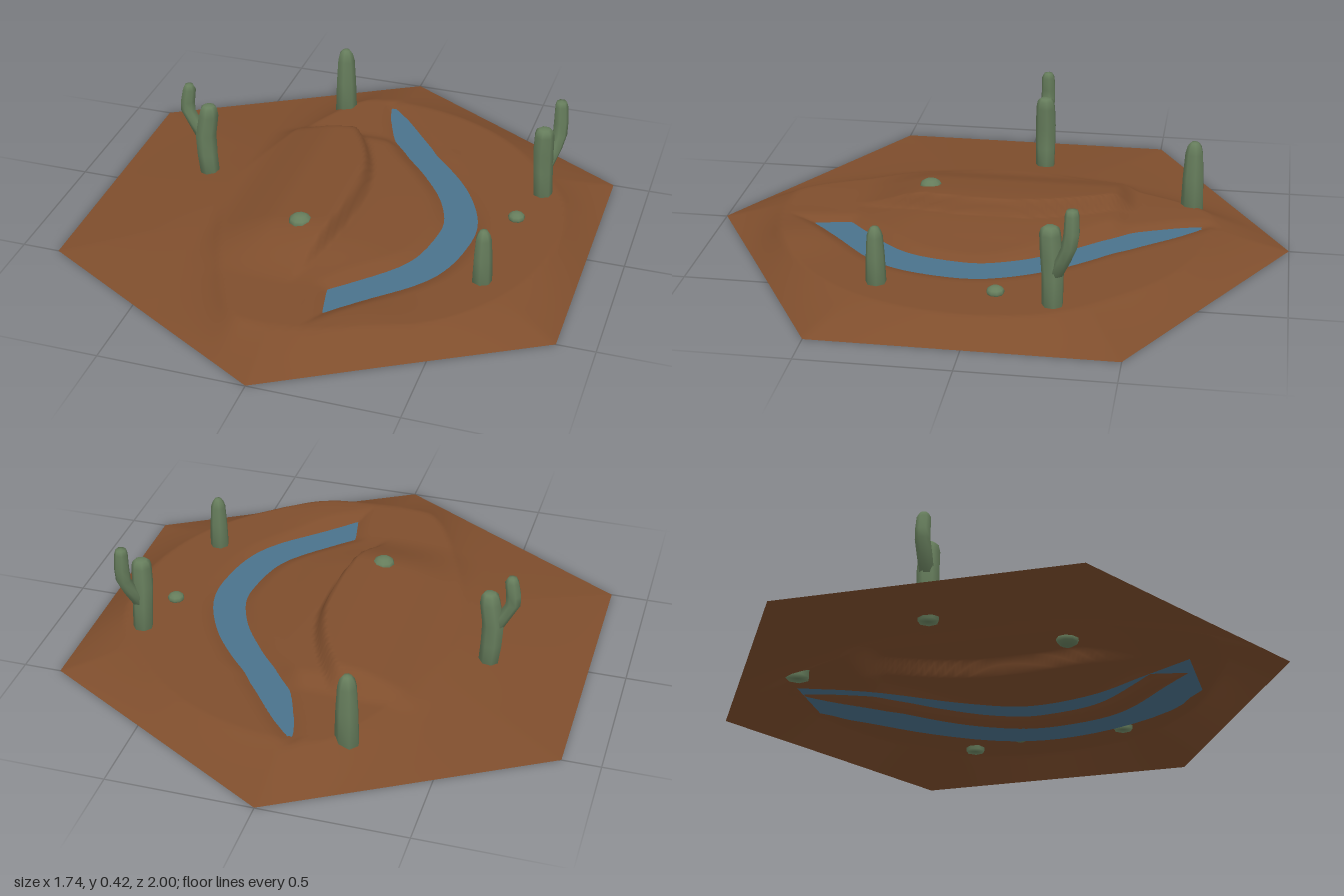
import * as THREE from 'three';

const smooth = (a, b, v) => THREE.MathUtils.smoothstep(v, a, b);
const lerp = THREE.MathUtils.lerp;
const APOTHEM = 0.87;
const WATER_Y = 0.07;

const curveXZ = (points) => new THREE.CatmullRomCurve3(points.map(([x, z, w = 0]) => new THREE.Vector3(x, w, z)));

// Centre line of the water sheet, given as x and z
const riverCurve = curveXZ([
  [0.03, -0.70], [0.15, -0.5], [0.32, -0.27], [0.43, -0.05], [0.44, 0.12], [0.36, 0.38], [0.155, 0.665]]);

// Centre line of the open channel, given as x, z and half width
const channelPoints = curveXZ([
  [-0.03, -0.71, 0], [0.035, -0.6, 0.03], [0.14, -0.43, 0.055], [0.255, -0.3, 0.055], [0.365, -0.15, 0.052],
  [0.425, 0, 0.053], [0.425, 0.12, 0.055], [0.375, 0.3, 0.056], [0.21, 0.49, 0.056], [0.06, 0.64, 0.056]]).getPoints(80);

// Signed distance to the channel's waterline, cut off squarely at the front end
function channelDistance(x, z) {
  let best = 9;
  for (const p of channelPoints) best = Math.min(best, Math.hypot(x - p.x, z - p.z) - p.y);
  return z > 0.4 ? Math.max(best, 0.12 + (z - 0.58) * 0.15 - x) : best;
}

// Ground height: sloped rim, hill with a cliff on its right, river channel
function groundHeight(x, z) {
  const ax = Math.abs(x), az = Math.abs(z);
  const rim = Math.max(0, APOTHEM - Math.max(ax, ax * 0.5 + az * 0.866));
  const right = smooth(-0.42, -0.1, x);
  const plateau = lerp(0.42, lerp(0.73, 0.77, smooth(-0.5, -0.2, z)), right);
  const inward = rim / (rim + Math.max(0, Math.hypot(x, z) - plateau) + 1e-6);
  let y = lerp(0.012, 0.075 + 0.008 * right, inward);
  // low bank at the front end of the river
  y += 0.018 * Math.exp(-((x - 0.27) ** 2 + (z - 0.66) ** 2) / 0.02) * Math.min(1, rim / 0.1);
  const crest = 0.06 - (z < 0 ? 0.85 : 0.3) * z * z;
  const along = smooth(-0.47, -0.38, z) * (1 - smooth(0.25, 0.55, z));
  const slope = 0.7 * smooth(-0.42, -0.15, x) + 0.3 * smooth(-0.25, 0.05, x);
  const cliff = 1 - smooth(crest - 0.008, crest + 0.016, x);
  y += along * slope * (0.052 * cliff + 0.03 * (1 - smooth(crest, 0.38, x)));
  return lerp(0.05, y, smooth(-0.06, 0.055, channelDistance(x, z)));
}

function terrainGeometry() {
  const nx = 140, nz = 120;
  const geo = new THREE.PlaneGeometry(2, 2, nx, nz).rotateX(-Math.PI / 2);
  const pos = geo.attributes.position;
  for (let i = 0; i < pos.count; i++) {
    const x = pos.getX(i) * APOTHEM;
    const z = pos.getZ(i) * (1 - Math.abs(x) / APOTHEM * 0.5);
    pos.setXYZ(i, x, groundHeight(x, z), z);
  }
  geo.computeVertexNormals();
  return geo;
}

// Flat sheet, wider than the channel, sunk into its banks
function riverGeometry() {
  const steps = 24, verts = [], index = [];
  for (let i = 0; i <= steps; i++) {
    const t = i / steps;
    const p = riverCurve.getPoint(t), d = riverCurve.getTangent(t);
    // square off both ends across x
    const end = Math.max(smooth(0.85, 1, t), 1 - smooth(0, 0.15, t));
    const side = new THREE.Vector3(d.z, 0, -d.x).lerp(new THREE.Vector3(1, 0, 0), end)
      .setLength(0.118 + 0.04 * Math.sin(Math.PI * t) + 0.018 * t);
    verts.push(p.x - side.x, WATER_Y, p.z - side.z, p.x + side.x, WATER_Y, p.z + side.z);
    if (i < steps) {
      const a = i * 2;
      index.push(a, a + 2, a + 1, a + 1, a + 2, a + 3);
    }
  }
  const geo = new THREE.BufferGeometry();
  geo.setAttribute('position', new THREE.Float32BufferAttribute(verts, 3));
  geo.setIndex(index);
  geo.computeVertexNormals();
  return geo;
}

// Closed limb skinned over horizontal rings, each [x, y, z, radius]
function limbGeometry(rings, sides = 7) {
  const verts = [], index = [];
  const first = rings[0], last = rings[rings.length - 1];
  for (const [x, y, z, r] of rings) {
    for (let s = 0; s < sides; s++) {
      const a = s / sides * Math.PI * 2;
      verts.push(x + r * Math.sin(a), y, z + r * Math.cos(a));
    }
  }
  const bottom = rings.length * sides, top = bottom + 1;
  verts.push(first[0], first[1], first[2], last[0], last[1] + 0.003, last[2]);
  for (let s = 0; s < sides; s++) {
    const n = (s + 1) % sides;
    for (let k = 0; k < rings.length - 1; k++) {
      const a = k * sides, b = a + sides;
      index.push(a + s, a + n, b + s, a + n, b + n, b + s);
    }
    const e = (rings.length - 1) * sides;
    index.push(bottom, n, s, top, e + s, e + n);
  }
  const geo = new THREE.BufferGeometry();
  geo.setAttribute('position', new THREE.Float32BufferAttribute(verts, 3));
  geo.setIndex(index);
  geo.computeVertexNormals();
  return geo;
}

export function createModel() {
  const model = new THREE.Group();
  model.name = 'desertTile';
  const material = (name, color, side = THREE.FrontSide) => {
    const m = new THREE.MeshStandardMaterial({ color, side });
    m.name = name;
    return m;
  };
  const earth = material('earth', 0x7f4e2d, THREE.DoubleSide);
  const water = material('water', 0x4a728c, THREE.DoubleSide);
  const green = material('cactusGreen', 0x667d5c);
  const add = (name, geo, mat) => {
    const mesh = new THREE.Mesh(geo, mat);
    mesh.name = name;
    model.add(mesh);
    return mesh;
  };

  add('terrain', terrainGeometry(), earth);
  add('river', riverGeometry(), water);

  // Branched cactus on the left side
  add('westCactusTrunk', limbGeometry([
    [-0.537, 0.045, -0.085, 0.035], [-0.545, 0.13, -0.085, 0.037], [-0.548, 0.21, -0.085, 0.038],
    [-0.535, 0.29, -0.085, 0.036], [-0.533, 0.318, -0.085, 0.03], [-0.532, 0.328, -0.085, 0.02]]), green);
  add('westCactusArm', limbGeometry([
    [-0.555, 0.19, -0.085, 0.024], [-0.585, 0.25, -0.085, 0.026], [-0.612, 0.30, -0.085, 0.026],
    [-0.612, 0.335, -0.085, 0.026], [-0.604, 0.385, -0.085, 0.024], [-0.604, 0.402, -0.085, 0.015]]), green);

  // Branched cactus on the right side
  add('eastCactusTrunk', limbGeometry([
    [0.655, 0.07, -0.26, 0.035], [0.65, 0.18, -0.26, 0.036], [0.648, 0.25, -0.255, 0.037],
    [0.65, 0.325, -0.25, 0.035], [0.65, 0.343, -0.25, 0.03], [0.65, 0.35, -0.25, 0.02]]), green);
  add('eastCactusArm', limbGeometry([
    [0.66, 0.19, -0.27, 0.024], [0.68, 0.25, -0.295, 0.026], [0.692, 0.30, -0.315, 0.026],
    [0.692, 0.35, -0.322, 0.026], [0.69, 0.41, -0.322, 0.023], [0.69, 0.427, -0.322, 0.018]]), green);

  // Plain upright cacti: x, z, base, top, radius
  for (const [name, x, z, y0, y1, r] of [
    ['backCactus', -0.2, -0.655, 0.055, 0.317, 0.042],
    ['frontCactus', 0.58, 0.325, 0.07, 0.278, 0.035]]) {
    add(name, limbGeometry([
      [x, y0, z, r], [x, lerp(y0, y1, 0.5), z, r * 0.9], [x, lerp(y0, y1, 0.84), z, r * 0.77],
      [x, y1 - 0.014, z, r * 0.6], [x, y1, z, r * 0.35]]), green);
  }

  // Small round cacti: x, z, centre height, radius
  for (const [name, x, z, y, r] of [
    ['hillBarrelCactus', -0.07, 0.265, 0.15, 0.04],
    ['valleyBarrelCactus', 0.605, -0.07, 0.09, 0.03]]) {
    const ball = add(name, new THREE.SphereGeometry(r, 9, 6), green);
    ball.position.set(x, y, z);
    ball.scale.y = 0.65;
  }
  return model;
}
